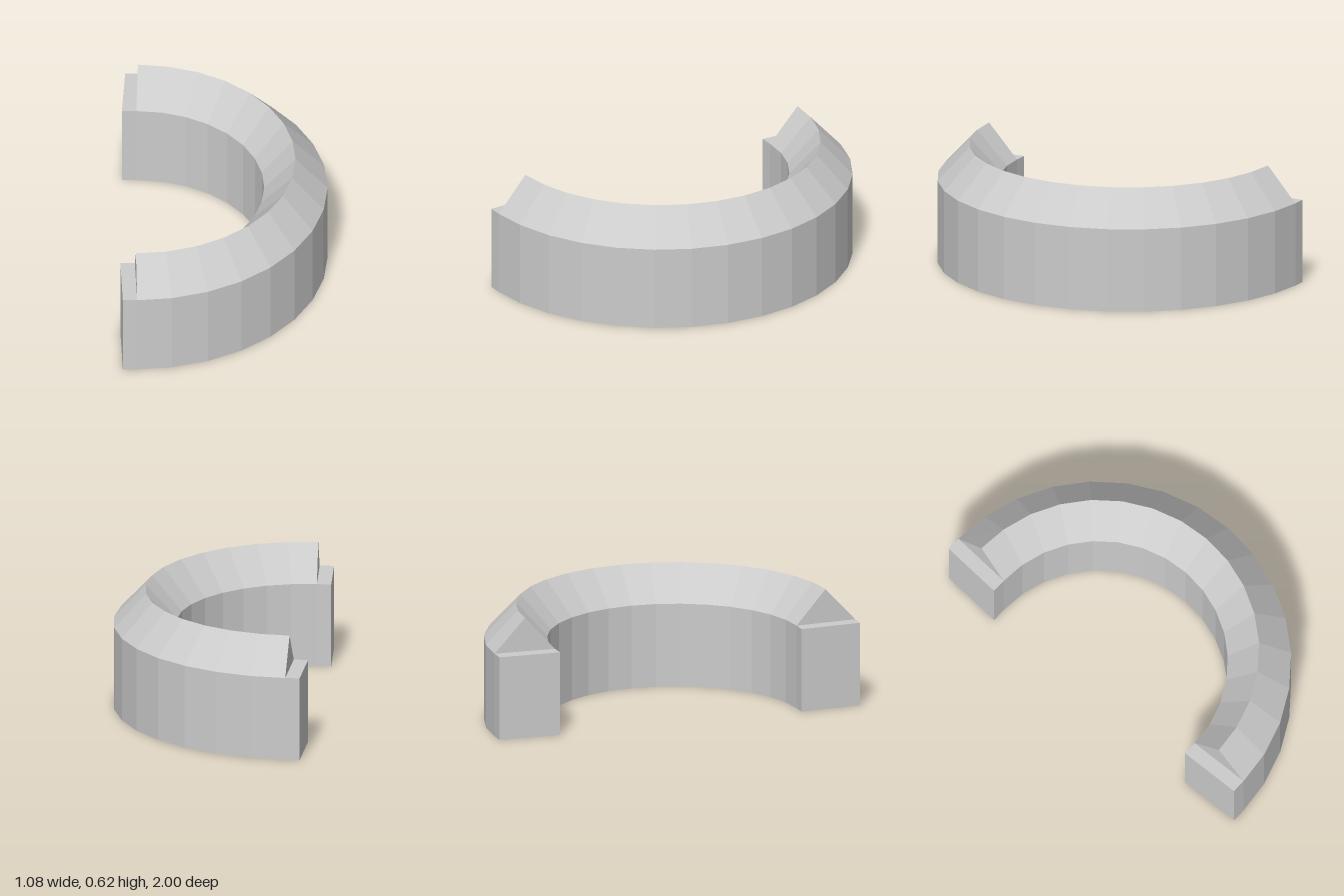
import * as THREE from 'three';

const CENTER_X = -0.465;
const STEP = Math.PI / 16;
const EAVE = 0.445, RIDGE = 0.625;

// Profile points as [radius, height], from outer foot over the ridge to inner foot
const profile = (top) => [[1, 0], [1, EAVE], [0.833, top], [0.67, EAVE], [0.67, 0]];

// Section on the arc at angle a
const arcSection = (a) => profile(RIDGE).map(([r, y]) =>
  new THREE.Vector3(CENTER_X + r * Math.cos(a), y, r * Math.sin(a)));

// Slightly skewed section near an end; side is -1 (back) or 1 (front)
const endSection = (side, x, top) => profile(top).map(([r, y]) =>
  new THREE.Vector3(x + 0.045 * (r - 0.67), y, side * r));

// Flat-shaded solid lofted through the sections and capped at both ends
function loft(sections) {
  const pos = [];
  const tri = (a, b, c) => {
    const area = b.clone().sub(a).cross(c.clone().sub(a)).length();
    if (area > 1e-6) for (const p of [a, b, c]) pos.push(p.x, p.y, p.z);
  };
  const n = sections[0].length;
  for (let i = 0; i < sections.length - 1; i++) {
    const A = sections[i], B = sections[i + 1];
    for (let j = 0; j < n; j++) {
      const k = (j + 1) % n;
      tri(A[j], A[k], B[k]);
      tri(A[j], B[k], B[j]);
    }
  }
  const first = sections[0], last = sections[sections.length - 1];
  for (let j = 1; j < n - 1; j++) {
    tri(first[0], first[j + 1], first[j]);
    tri(last[0], last[j], last[j + 1]);
  }
  const geo = new THREE.BufferGeometry();
  geo.setAttribute('position', new THREE.Float32BufferAttribute(pos, 3));
  geo.computeVertexNormals();
  return geo;
}

export function createModel() {
  // Each end: flat ledge, then the upright gable where the ridge starts
  const end = (side) => [
    endSection(side, -0.54, EAVE),
    endSection(side, -0.465, EAVE),
    endSection(side, -0.465, RIDGE),
  ];
  const sections = end(-1);
  for (let i = -7; i <= 7; i++) sections.push(arcSection(i * STEP));
  sections.push(...end(1).reverse());

  const mesh = new THREE.Mesh(loft(sections),
    new THREE.MeshStandardMaterial({ color: 0xcccccc, flatShading: true }));
  mesh.name = 'ridgedHalfRing';
  const group = new THREE.Group();
  group.name = 'halfRingWall';
  group.add(mesh);
  return group;
}
